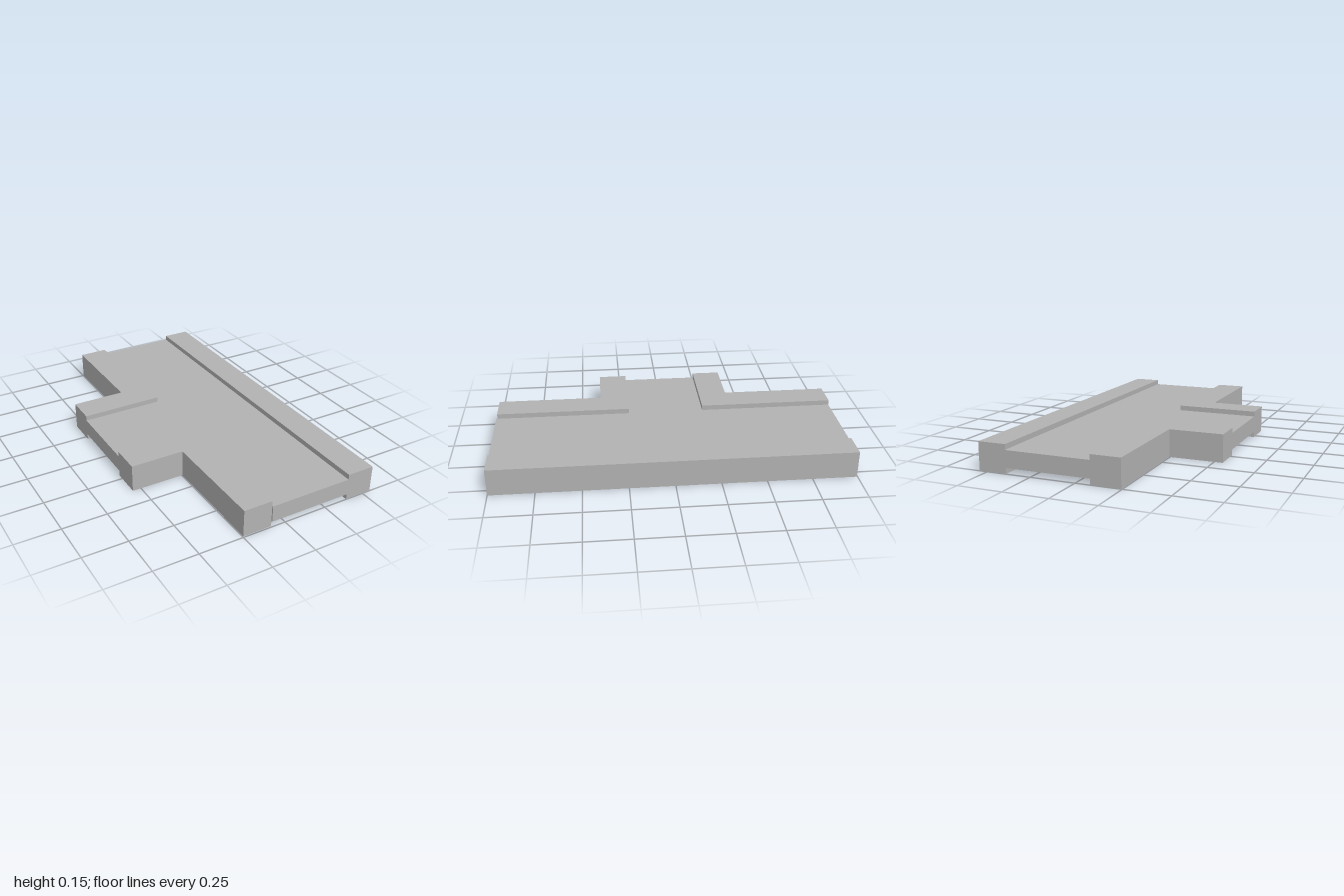
import * as THREE from 'three';

export function createModel() {
  const group = new THREE.Group();
  const grey = new THREE.MeshStandardMaterial({ color: 0xb2b2b2 });

  // Plan outline of [x, z] points, extruded between two heights
  function slab(name, points, bottom, top) {
    const shape = new THREE.Shape(points.map(([x, z]) => new THREE.Vector2(x, z)));
    const geometry = new THREE.ExtrudeGeometry(shape, { depth: top - bottom, bevelEnabled: false });
    geometry.rotateX(Math.PI / 2).translate(0, top, 0);
    const mesh = new THREE.Mesh(geometry, grey);
    mesh.name = name;
    group.add(mesh);
  }

  const height = 0.154;
  const outer = -0.548, wallOut = -0.246, wallIn = -0.081, railIn = 0.391, railOut = 0.548;

  // T-shaped floor, recessed above and below
  slab('floor', [
    [wallIn, -1], [railIn, -1], [railIn, 1], [wallIn, 1],
    [wallIn, 0.217], [outer, 0.217], [outer, -0.223], [wallIn, -0.223],
  ], 0.032, 0.125);

  // Straight wall along the left side
  slab('straightWall', [
    [railIn, -0.996], [railOut, -0.996], [railOut, 1], [railIn, 1],
  ], 0, height);

  // L-shaped walls on either side of the branch
  function cornerWall(name, inner, outerZ, end) {
    slab(name, [
      [outer, inner], [wallIn, inner], [wallIn, end],
      [wallOut, end], [wallOut, outerZ], [outer, outerZ],
    ], 0, height);
  }
  cornerWall('frontCornerWall', 0.217, 0.382, 0.993);
  cornerWall('backCornerWall', -0.223, -0.388, -1);

  return group;
}
